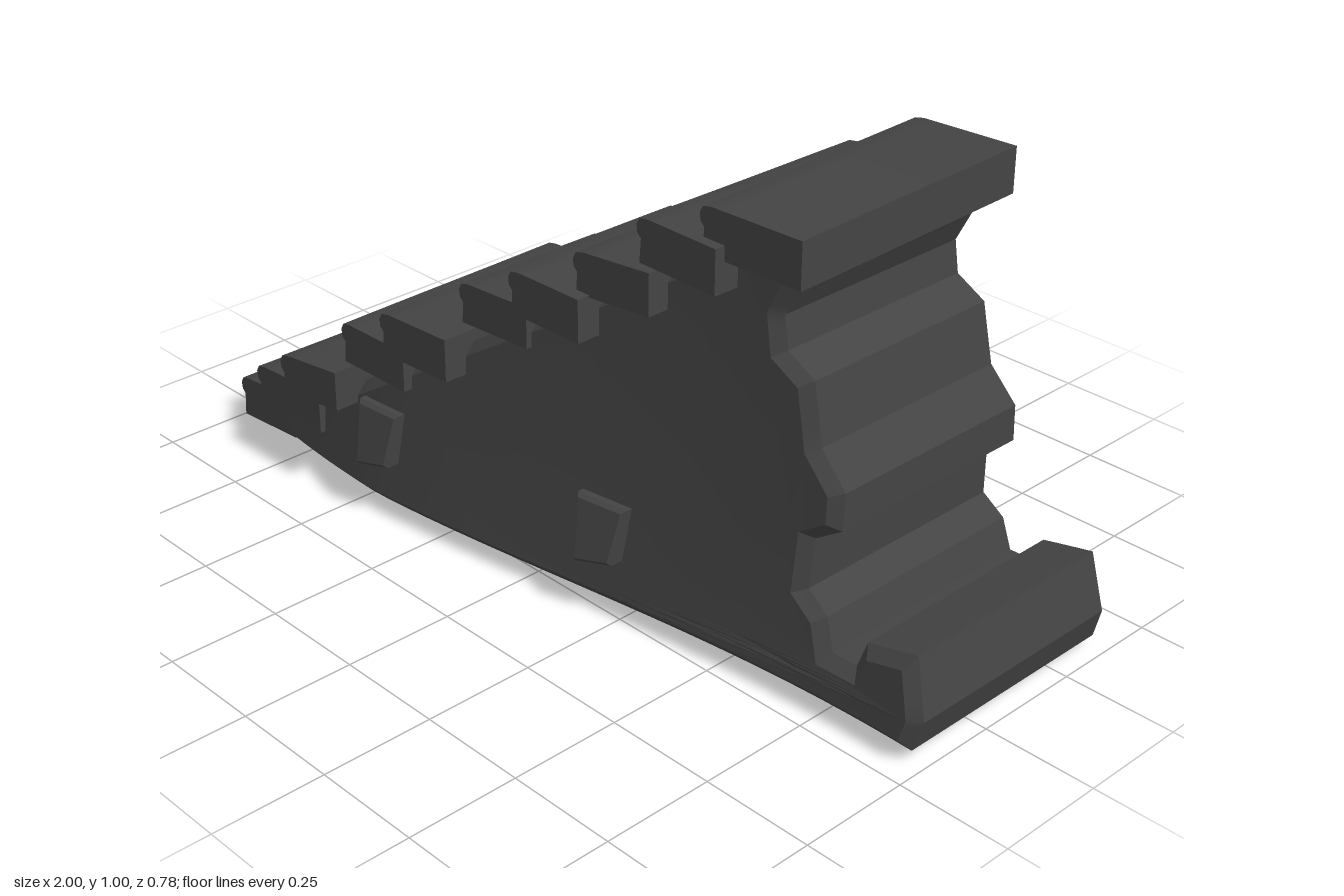
import * as THREE from 'three';
import { toCreasedNormals } from 'three/addons/utils/BufferGeometryUtils.js';

const stone = new THREE.MeshStandardMaterial({ color: 0x444444 });

// Sideways bend and half width of the staircase body
const bend = (x) => -0.02 - 0.075 * Math.sin((x - 0.1) * 2);
const halfWidth = (x, y) => 0.305 - 0.1 * y + 0.06 * y * y - 0.09 * Math.max(0, -x - 0.45);

// Split every triangle in four, so that the shape can be warped smoothly
function subdivide(geometry) {
  const p = (geometry.index ? geometry.toNonIndexed() : geometry).attributes.position;
  const out = [];
  for (let i = 0; i < p.count; i += 3) {
    const [a, b, c] = [0, 1, 2].map((k) => new THREE.Vector3().fromBufferAttribute(p, i + k));
    const ab = a.clone().lerp(b, 0.5), bc = b.clone().lerp(c, 0.5), ca = c.clone().lerp(a, 0.5);
    for (const v of [a, ab, ca, ab, b, bc, ca, bc, c, ab, bc, ca]) out.push(v.x, v.y, v.z);
  }
  const result = new THREE.BufferGeometry();
  result.setAttribute('position', new THREE.Float32BufferAttribute(out, 3));
  return result;
}

function warp(geometry, rule) {
  const p = geometry.attributes.position;
  const v = new THREE.Vector3();
  for (let i = 0; i < p.count; i++) {
    rule(v.fromBufferAttribute(p, i));
    p.setXYZ(i, v.x, v.y, v.z);
  }
  return toCreasedNormals(geometry, 0.4);
}

// Side profile extruded across z, centred, with optional chamfer
function slab(points, width, bevel = 0) {
  const shape = new THREE.Shape(points.map(([x, y]) => new THREE.Vector2(x, y)));
  const g = new THREE.ExtrudeGeometry(shape, {
    depth: width - 2 * bevel, bevelEnabled: bevel > 0, bevelSize: bevel,
    bevelThickness: bevel, bevelOffset: -bevel, bevelSegments: 1,
  });
  return g.translate(0, 0, -width / 2 + bevel);
}

function addMesh(group, name, geometry) {
  const mesh = new THREE.Mesh(geometry, stone);
  mesh.name = name;
  group.add(mesh);
  return mesh;
}

function createBody() {
  const outline = [];
  for (let i = 0; i <= 8; i++) outline.push([-0.8 + (1.77 * i) / 8, 0.03]);
  // Curled foot, trough and carved end, from the ground up
  outline.push([0.99, 0.1], [0.96, 0.228], [0.84, 0.2], [0.82, 0.14], [0.76, 0.14], [0.74, 0.21],
    [0.69, 0.25], [0.695, 0.36], [0.757, 0.4], [0.757, 0.48], [0.695, 0.55], [0.67, 0.68],
    [0.605, 0.72], [0.595, 0.79], [0.63, 0.86], [0.67, 0.91]);
  // Slope hidden under the treads
  for (let i = 0; i <= 8; i++) outline.push([0.5 - (1.3 * i) / 8, 0.91 - (0.81 * i) / 8]);
  const g = subdivide(subdivide(slab(outline, 0.6, 0.024)));
  return warp(g, (v) => {
    v.z = (v.z / 0.3) * halfWidth(v.x, v.y) + bend(v.x);
  });
}

// Worn tread with a rounded nose on its left edge
function createTread(index, w, h, depth, tilt, roll) {
  const profile = [[0.008, 0], [w, 0], [w, h], [0.03, h], [0.008, h - 0.004], [0, h - 0.018],
    [0.002, h - 0.035], [0.012, h - 0.045]];
  const g = subdivide(subdivide(subdivide(slab(profile, depth))));
  return warp(g, (v) => {
    const wave = Math.sin(v.z * 9 + index * 2.1);
    const left = 1 - v.x / w;
    v.x += 0.006 * wave * left;
    v.y += tilt * (v.x - w / 2) + roll * v.z + 0.004 * wave * left;
  });
}

// Tapered stone sticking out of the side wall
function createBlock(x, side) {
  const s = new THREE.Shape([[-0.062, 0.27], [-0.048, 0.125], [0.045, 0.145], [0.062, 0.27]]
    .map(([a, b]) => new THREE.Vector2(a + x, b)));
  const g = new THREE.ExtrudeGeometry(s, {
    depth: 0.06, bevelSize: 0.008, bevelOffset: -0.008, bevelThickness: 0.008, bevelSegments: 1,
  });
  g.translate(0, 0, -0.038);
  if (side < 0) g.rotateY(Math.PI).translate(2 * x, 0, 0);
  return warp(g.index ? g.toNonIndexed() : g, (v) => {
    v.z += side * (halfWidth(x, v.y) + (0.2 - v.y) * 0.12) + bend(v.x);
  });
}

export function createModel() {
  const group = new THREE.Group();
  group.name = 'staircase';
  addMesh(group, 'stairBody', createBody());

  // Treads: left x, right x, bottom y, top y, back z, front z, tilt
  const treads = [
    [-1.0, -0.79, 0.015, 0.115, -0.29, 0.3, 0.08],
    [-0.855, -0.625, 0.112, 0.212, -0.25, 0.345, 0.04],
    [-0.705, -0.5, 0.228, 0.32, -0.21, 0.387, 0.14],
    [-0.54, -0.325, 0.338, 0.432, -0.265, 0.335, 0.02],
    [-0.38, -0.17, 0.418, 0.515, -0.26, 0.345, 0.03],
    [-0.207, 0.005, 0.53, 0.622, -0.32, 0.275, 0.07],
    [-0.032, 0.175, 0.62, 0.715, -0.31, 0.29, 0.02],
    [0.135, 0.34, 0.72, 0.812, -0.36, 0.26, 0.08],
    [0.293, 0.502, 0.82, 0.915, -0.33, 0.25, 0.0],
    [0.435, 0.69, 0.893, 0.991, -0.37, 0.226, 0.03],
  ];
  treads.forEach(([x0, x1, y0, y1, z0, z1, tilt], i) => {
    const roll = i === 9 ? -0.022 : 0.012 * Math.sin(i * 1.7);
    const tread = addMesh(group, `tread${i + 1}`, createTread(i, x1 - x0, y1 - y0, z1 - z0, tilt, roll));
    tread.position.set(x0, y0, (z0 + z1) / 2);
  });

  for (const x of [-0.408, 0.21]) {
    for (const side of [1, -1]) {
      addMesh(group, side > 0 ? 'frontWallStone' : 'backWallStone', createBlock(x, side));
    }
  }
  return group;
}
